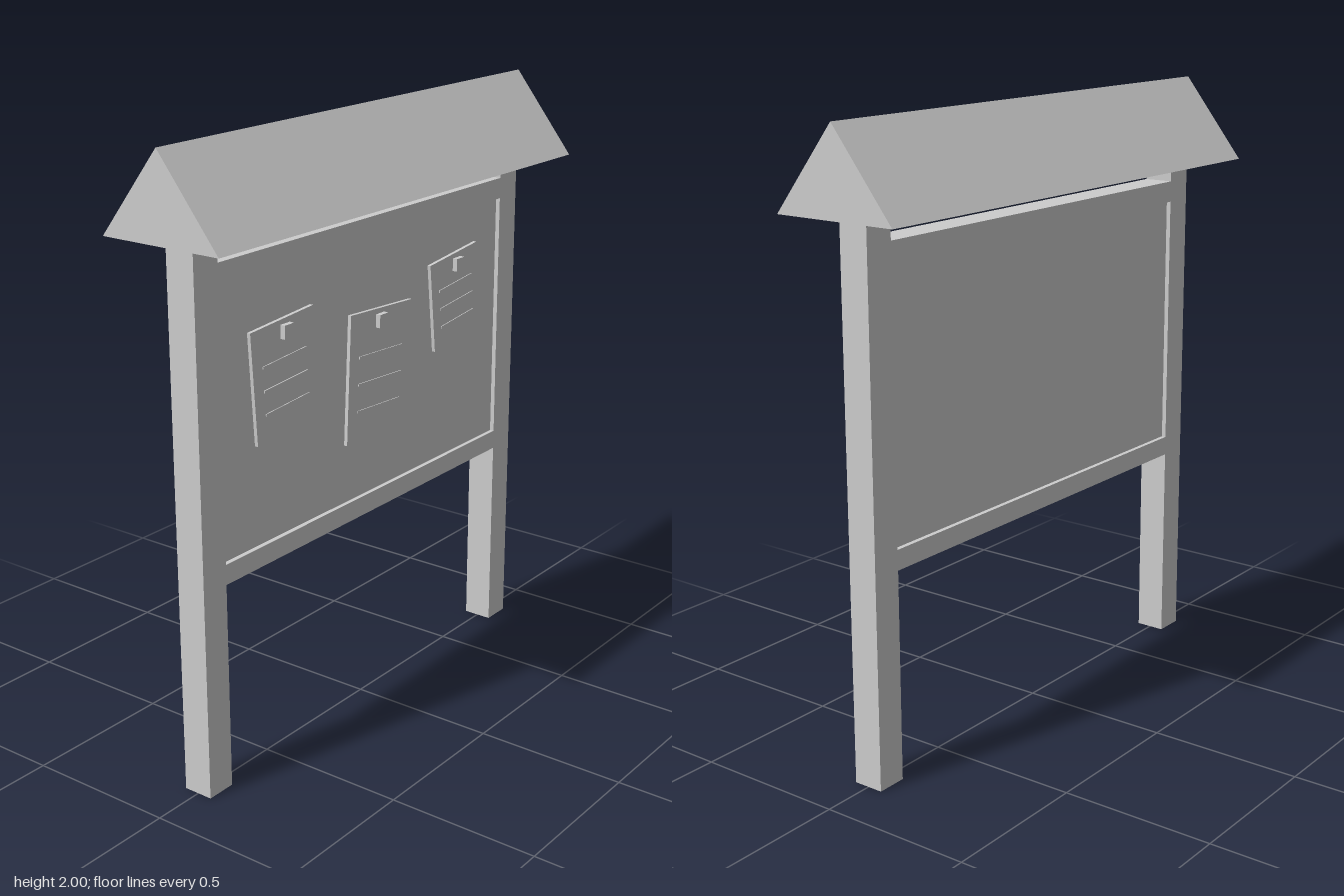
import * as THREE from 'three';

export function createModel() {
  const model = new THREE.Group();
  model.name = 'noticeBoard';
  // double sided because the roof is an open shell
  const grey = new THREE.MeshStandardMaterial({ color: 0xcccccc, side: THREE.DoubleSide });
  grey.name = 'plain grey';

  function box(name, w, h, d, x, y, z, parent = model) {
    const mesh = new THREE.Mesh(new THREE.BoxGeometry(w, h, d), grey);
    mesh.name = name;
    mesh.position.set(x, y, z);
    parent.add(mesh);
    return mesh;
  }

  // posts
  for (const [name, s] of [['leftPost', 1], ['rightPost', -1]]) {
    box(name, 0.1, 1.73, 0.1, s * 0.778, 0.865, 0);
  }

  // rails and recessed panel
  box('topRail', 1.456, 0.07, 0.1, 0, 1.623, 0);
  box('bottomRail', 1.456, 0.065, 0.1, 0, 0.709, 0);
  box('panel', 1.456, 0.847, 0.07, 0, 1.165, 0);

  // pinned notices: centre, size, tilt
  const notices = [
    [-0.434, 1.252, 0.293, 0.357, 0.07],
    [0.04, 1.141, 0.325, 0.425, -0.053],
    [0.472, 1.296, 0.274, 0.304, 0.108],
  ];
  for (const [x, y, w, h, tilt] of notices) {
    const notice = new THREE.Group();
    notice.name = 'notice';
    notice.position.set(x, y, 0);
    notice.rotation.z = tilt;
    model.add(notice);
    box('paper', w, h, 0.012, 0, 0, 0.041, notice);
    // raised writing lines
    for (let i = -1; i <= 1; i++) {
      box('writingLine', w * 0.7, 0.008, 0.003, 0, h * (i * 0.21 - 0.05), 0.0485, notice);
    }
    box('pin', 0.043, 0.043, 0.018, x, y + h / 2 - 0.038, 0.055);
  }

  // gabled roof, open underneath
  const W = 0.905, D = 0.213, Y0 = 1.73, Y1 = 2;
  const corner = (sx, z, y) => [sx * W, y, z];
  const [fl, fr] = [corner(1, D, Y0), corner(-1, D, Y0)];
  const [bl, br] = [corner(1, -D, Y0), corner(-1, -D, Y0)];
  const [tl, tr] = [corner(1, 0, Y1), corner(-1, 0, Y1)];
  const faces = [
    fr, fl, tl, fr, tl, tr, // front slope
    bl, br, tr, bl, tr, tl, // back slope
    fl, bl, tl, br, fr, tr, // gables
  ];
  const roofGeo = new THREE.BufferGeometry();
  roofGeo.setAttribute('position', new THREE.Float32BufferAttribute(faces.flat(), 3));
  roofGeo.computeVertexNormals();
  const roof = new THREE.Mesh(roofGeo, grey);
  roof.name = 'roof';
  model.add(roof);

  return model;
}
